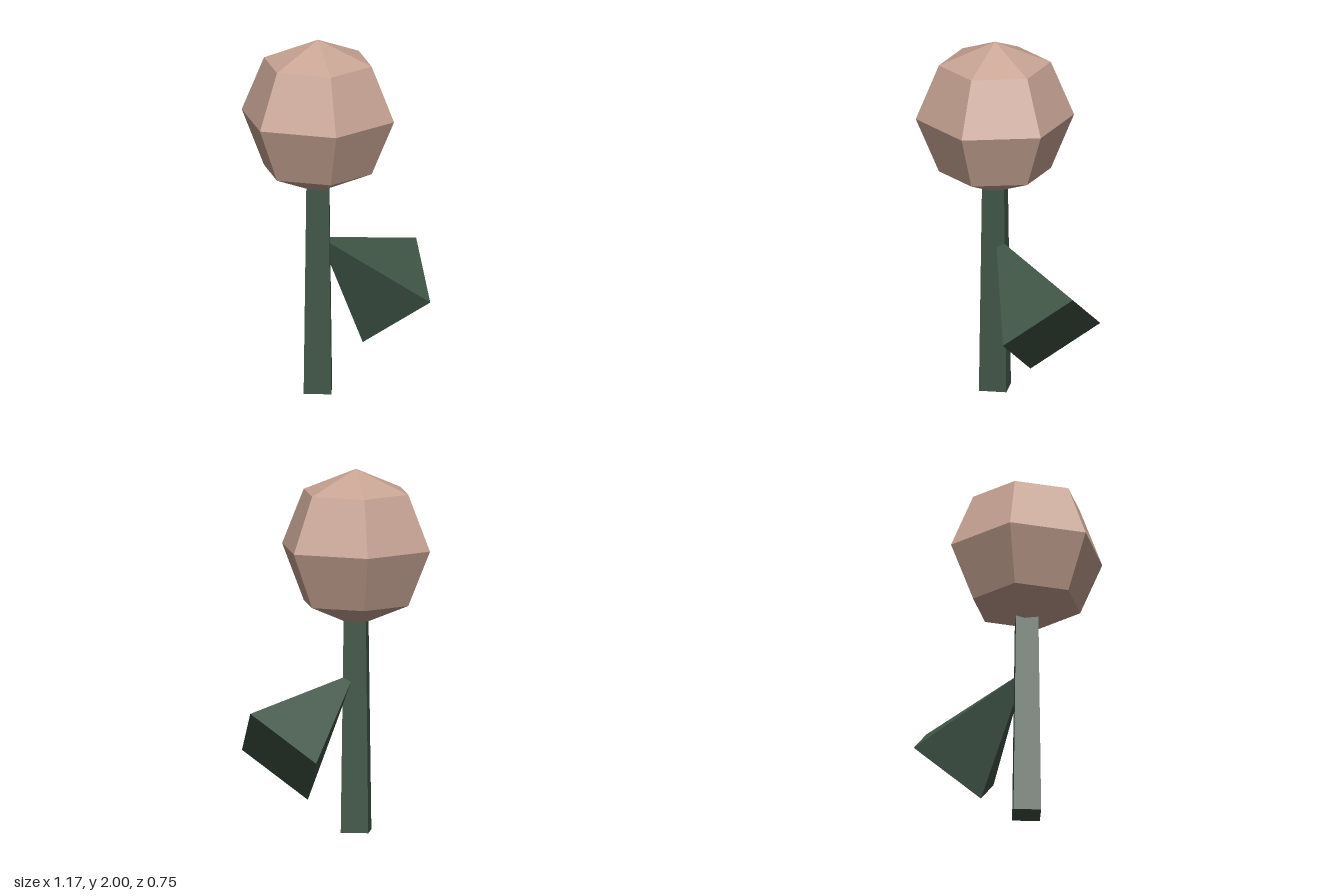
import * as THREE from 'three';

const STEM_X = -0.155;

export function createModel() {
  const group = new THREE.Group();
  const bloomMat = new THREE.MeshStandardMaterial({ color: 0xc8a494, flatShading: true });
  const greenMat = new THREE.MeshStandardMaterial({ color: 0x3f5546, flatShading: true });

  const add = (name, geometry, material, x, y) => {
    const mesh = new THREE.Mesh(geometry, material);
    mesh.name = name;
    mesh.position.set(x, y, 0);
    group.add(mesh);
    return mesh;
  };

  // Faceted round flower head
  const radius = 0.434;
  add('flowerHead', new THREE.SphereGeometry(radius, 6, 4), bloomMat, STEM_X, 2 - radius);

  // Tapered four-sided stem, its top sunk into the head
  const stemHeight = 1.22;
  add('stem', new THREE.CylinderGeometry(0.086, 0.107, stemHeight, 4), greenMat, STEM_X, stemHeight / 2);

  // Four-sided pyramid leaf, its tip buried in the stem
  const tilt = 0.906, leafLength = 0.67;
  const leaf = add(
    'leaf', new THREE.ConeGeometry(0.325, leafLength, 4), greenMat,
    0.382 - Math.sin(tilt) * leafLength / 2,
    0.46 + Math.cos(tilt) * leafLength / 2
  );
  leaf.rotation.z = tilt;

  return group;
}
